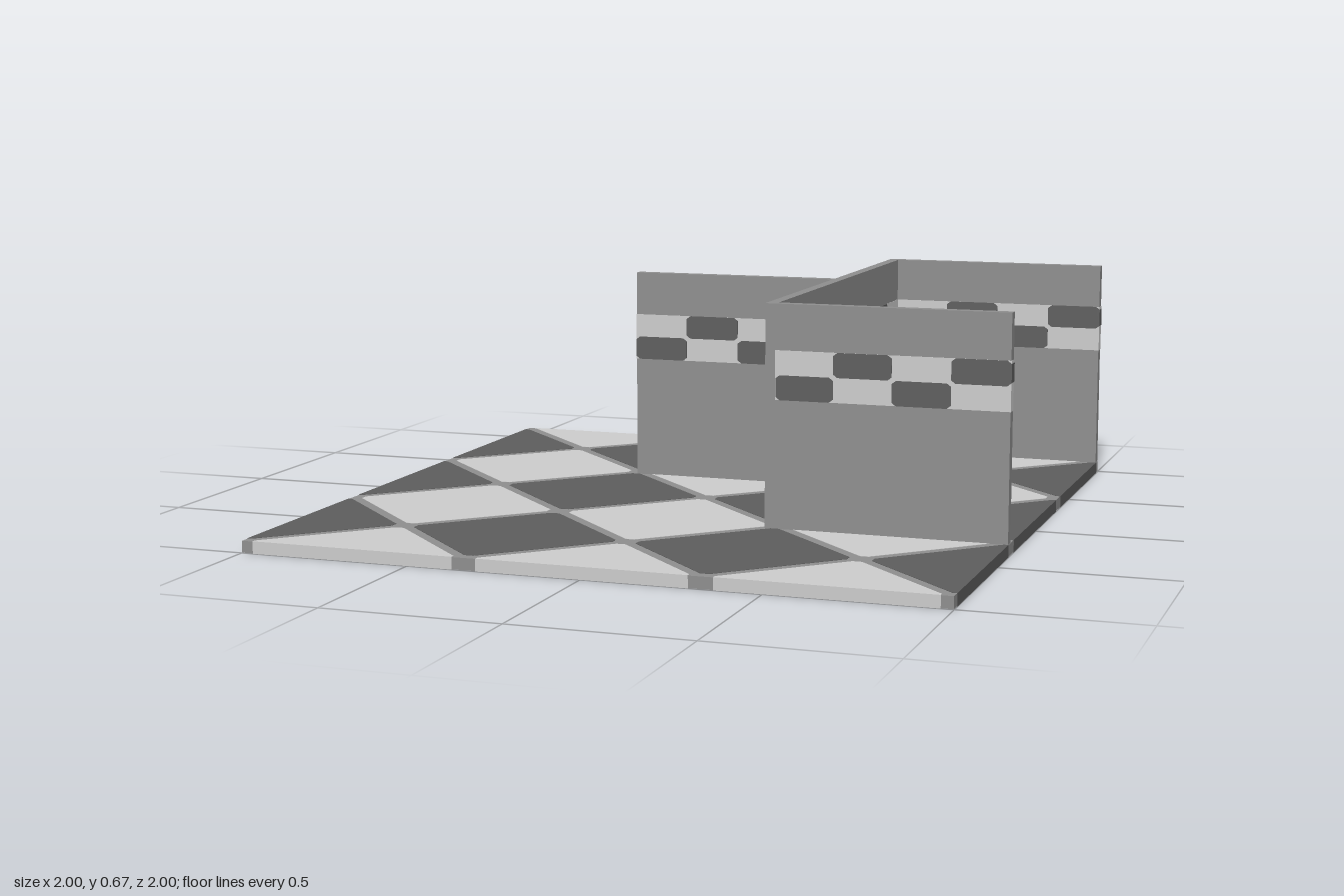
import * as THREE from 'three';

const mats = {};
const addMat = (name, color) => {
  mats[name] = new THREE.MeshStandardMaterial({ color });
  mats[name].name = name;
};
addMat('grout grey', 0x8e8e8e);
addMat('light tile', 0xcccccc);
addMat('dark tile', 0x5d5d5d);

const FLOOR = 0.035, WALL_TOP = 0.67, THICK = 0.031;
const BAND_LOW = 0.4, BAND_MID = 0.47, BAND_HIGH = 0.54, CELL = 1 / 6;

function add(parent, geometry, material, name) {
  const mesh = new THREE.Mesh(geometry, mats[material]);
  mesh.name = name;
  parent.add(mesh);
  return mesh;
}

// Box given by its minimum and maximum corners
function block(parent, min, max, material, name) {
  const size = max.map((v, i) => v - min[i]);
  const mesh = add(parent, new THREE.BoxGeometry(...size), material, name);
  mesh.position.set(...max.map((v, i) => (v + min[i]) / 2));
  return mesh;
}

function extrude(points, depth) {
  const shape = new THREE.Shape(points.map(([x, y]) => new THREE.Vector2(x, y)));
  return new THREE.ExtrudeGeometry(shape, { depth, bevelEnabled: false });
}

// Diamond floor tile with blunt corners, cut off at the floor edge
function floorTile(parent, cx, cz, material) {
  const c = 0.299, k = 0.013;
  const ring = [[c, -k], [c, k], [k, c], [-k, c], [-c, k], [-c, -k], [-k, -c], [k, -c]];
  const clip = v => Math.max(-1, Math.min(1, v));
  const geometry = extrude(ring.map(([x, z]) => [clip(cx + x), clip(cz + z)]), FLOOR);
  geometry.rotateX(-Math.PI / 2);
  add(parent, geometry, material, 'floorTile');
}

// Wall running along local x from a to b, with a two-row chequered band
function wall(parent, a, b, bandA, bandB, name) {
  const group = new THREE.Group();
  group.name = name;
  const h = THICK / 2;
  block(group, [a, FLOOR - 0.002, -h], [b, WALL_TOP, h], 'grout grey', 'wallPanel');
  block(group, [bandA - 0.001, BAND_LOW, -h - 0.001], [bandB + 0.001, BAND_HIGH, h + 0.001],
    'light tile', 'lightBand');
  for (let i = Math.floor(bandA / CELL + 0.01); i * CELL < bandB - 0.005; i++) {
    const x0 = Math.max(i * CELL, bandA - 0.002), x1 = Math.min((i + 1) * CELL, bandB + 0.002);
    if (x1 - x0 < 0.01) continue;
    // dark cells alternate between the upper and lower rows
    const upper = Math.abs(i) % 2 === 1;
    const y0 = upper ? BAND_MID : BAND_LOW, y1 = upper ? BAND_HIGH : BAND_MID;
    const u = 0.012, v = 0.009;
    const geometry = extrude([
      [x0 + u, y0], [x1 - u, y0], [x1, y0 + v], [x1, y1 - v],
      [x1 - u, y1], [x0 + u, y1], [x0, y1 - v], [x0, y0 + v],
    ], THICK + 0.004);
    geometry.translate(0, 0, -h - 0.002);
    add(group, geometry, 'dark tile', 'darkBandCell');
  }
  parent.add(group);
  return group;
}

export function createModel() {
  const model = new THREE.Group();
  model.name = 'tiledRoomCorner';

  // Floor slab with tiles reaching through it
  const floor = new THREE.Group();
  floor.name = 'floor';
  model.add(floor);
  block(floor, [-0.999, 0.001, -0.999], [0.999, FLOOR - 0.001, 0.999], 'grout grey', 'floorSlab');
  const wide = [-1, -1 / 3, 1 / 3, 1], narrow = [-2 / 3, 0, 2 / 3];
  for (const w of wide) {
    for (const n of narrow) {
      floorTile(floor, w, n, 'dark tile');
      floorTile(floor, n, w, 'light tile');
    }
  }

  // Walls across the width
  wall(model, 0.303, 0.998, 1 / 3, 0.998, 'frontWall').position.z = 0.35;
  wall(model, 0.303, 0.998, 1 / 3, 0.998, 'backWall').position.z = -0.9825;
  wall(model, -0.332, 0.31, -0.332, 0.303, 'sideWall').position.z = -0.32;

  // Long wall: local x becomes -z, so its cells are mirrored back by the parity rule
  const long = wall(model, -0.36, 0.997, -0.333, 0.97, 'longWall');
  long.rotation.y = Math.PI / 2;
  long.position.x = 0.3175;
  // swap the two band rows, since reversing direction flips the chequer
  const middle = BAND_LOW + BAND_HIGH;
  for (const part of long.children) {
    if (part.name !== 'darkBandCell') continue;
    part.geometry.rotateX(Math.PI);
    part.geometry.translate(0, middle, 0);
  }
  return model;
}
